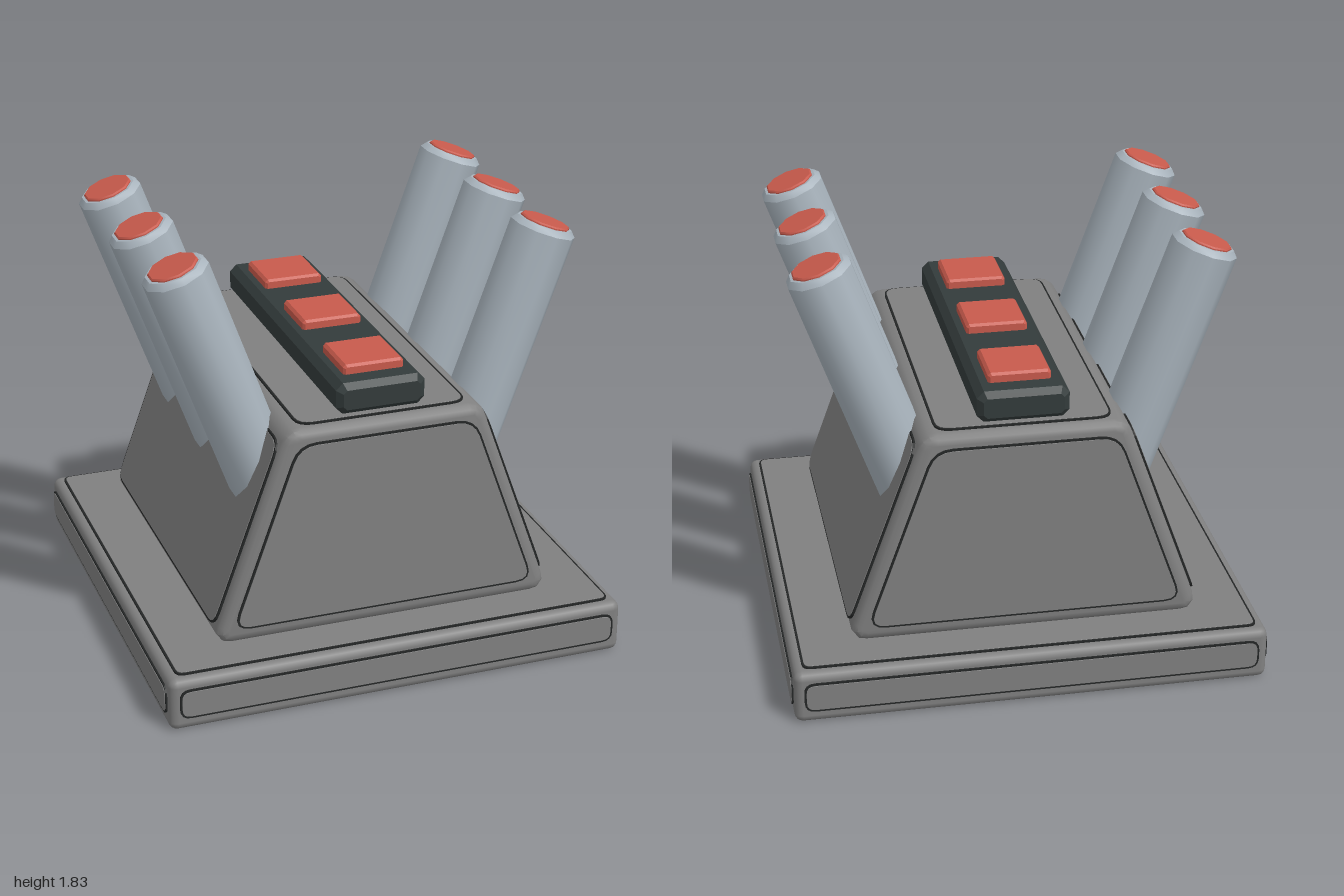
import * as THREE from 'three';
import { toCreasedNormals } from 'three/addons/utils/BufferGeometryUtils.js';
import { RoundedBoxGeometry } from 'three/addons/geometries/RoundedBoxGeometry.js';

const TILT = THREE.MathUtils.degToRad(20);

const colour = (name, hex) => {
  const m = new THREE.MeshStandardMaterial({ color: hex });
  m.name = name;
  return m;
};

// Polygon (counter-clockwise) with its corners rounded by r
function roundedPolygon(points, r) {
  const shape = new THREE.Shape();
  const v = points.map(([x, y]) => new THREE.Vector2(x, y));
  v.forEach((p, i) => {
    const prev = v[(i + v.length - 1) % v.length];
    const next = v[(i + 1) % v.length];
    const a = p.clone().add(prev.clone().sub(p).setLength(r));
    const b = p.clone().add(next.clone().sub(p).setLength(r));
    if (i === 0) shape.moveTo(a.x, a.y);
    else shape.lineTo(a.x, a.y);
    shape.quadraticCurveTo(p.x, p.y, b.x, b.y);
  });
  shape.closePath();
  return shape;
}

// Symmetric trapezoid, half width b at y0 and t at y1
const trapezoid = (b, t, y0, y1) => [[-b, y0], [b, y0], [t, y1], [-t, y1]];
const rectangle = (w, h) => trapezoid(w / 2, w / 2, -h / 2, h / 2);

export function createModel() {
  const model = new THREE.Group();
  const grey = colour('stone grey', 0x808080);
  const trim = colour('dark trim', 0x242626);
  const black = colour('charcoal', 0x333b3b);
  const steel = colour('pale steel', 0xa9b4bd);
  const red = colour('red', 0xc85a4c);

  function add(name, geometry, material, parent = model) {
    const mesh = new THREE.Mesh(geometry, material);
    mesh.name = name;
    parent.add(mesh);
    return mesh;
  }

  // Raised plate facing +z with a dark rim
  function panel(name, points, radius) {
    const group = new THREE.Group();
    group.name = name;
    const shape = roundedPolygon(points, radius);
    const rim = new THREE.ExtrudeGeometry(shape, { depth: 0.009, bevelEnabled: false, curveSegments: 4 });
    add(name + 'Rim', rim, trim, group);
    const face = new THREE.ExtrudeGeometry(shape, {
      depth: 0.011, bevelThickness: 0.0005, bevelSize: 0.0005, bevelOffset: -0.009,
      bevelSegments: 1, curveSegments: 4,
    });
    add(name + 'Face', face, grey, group);
    model.add(group);
    return group;
  }

  // Box with chamfered edges, longest along z
  function chamferBox(name, w, h, d, c, material) {
    const shape = roundedPolygon(rectangle(w - 2 * c, h - 2 * c), c * 0.6);
    const geo = new THREE.ExtrudeGeometry(shape, {
      depth: d - 2 * c, bevelThickness: c, bevelSize: c, bevelSegments: 1, curveSegments: 1,
    });
    geo.translate(0, 0, -d / 2 + c);
    return add(name, geo, material);
  }

  // Base slab and its panels
  add('base', new RoundedBoxGeometry(1.98, 0.23, 1.98, 2, 0.035), grey).position.y = 0.115;
  for (let i = 0; i < 4; i++) {
    const a = (i * Math.PI) / 2;
    const p = panel('baseSidePanel', rectangle(1.9, 0.13), 0.045);
    p.rotation.y = a;
    p.position.set(Math.sin(a) * 0.988, 0.122, Math.cos(a) * 0.988);
  }
  const baseTop = panel('baseTopPanel', rectangle(1.9, 1.9), 0.04);
  baseTop.rotation.x = -Math.PI / 2;
  baseTop.position.y = 0.229;

  // Tapered body
  const bevel = 0.04;
  const body = new THREE.ExtrudeGeometry(
    roundedPolygon(trapezoid(0.69, 0.39, 0.275, 1.107), 0.03),
    { depth: 1.5, bevelThickness: bevel, bevelSize: bevel, bevelSegments: 3, curveSegments: 3 },
  );
  body.translate(0, 0, -0.75);
  add('body', toCreasedNormals(body, 0.6), grey);

  // Body panels: front, back, slopes and top
  for (const s of [1, -1]) {
    const end = panel(s > 0 ? 'frontPanel' : 'backPanel', trapezoid(0.665, 0.38, 0.3, 1.09), 0.08);
    end.rotation.y = s > 0 ? 0 : Math.PI;
    end.position.z = s * 0.789;

    const slope = panel('slopePanel', rectangle(1.49, 0.84), 0.07);
    slope.rotation.set(0, (s * Math.PI) / 2, s * TILT, 'ZYX');
    slope.position.set(s * 0.582, 0.695, 0);
  }
  const top = panel('topPanel', rectangle(0.73, 1.49), 0.07);
  top.rotation.x = -Math.PI / 2;
  top.position.y = 1.146;

  // Control strip with its buttons
  chamferBox('controlStrip', 0.38, 0.135, 1.46, 0.025, black).position.y = 1.222;
  for (const z of [-0.5, 0, 0.5]) {
    chamferBox('button', 0.26, 0.06, 0.26, 0.01, red).position.set(0, 1.3, z);
  }

  // Leaning tubes with red caps, three on each slope
  const lathe = (pts) => toCreasedNormals(
    new THREE.LatheGeometry(pts.map(([x, y]) => new THREE.Vector2(x, y)), 10), 0.7);
  const tubeGeo = lathe([[0, -1.15], [0.14, -1.15], [0.14, -0.032], [0.118, -0.008], [0, -0.008]]);
  const capGeo = lathe([[0.106, -0.02], [0.106, -0.003], [0.1, 0.003], [0, 0.003]]);
  for (const s of [1, -1]) {
    for (const z of [-0.5, 0, 0.5]) {
      const tube = new THREE.Group();
      tube.name = s > 0 ? 'leftTube' : 'rightTube';
      add('tubeBarrel', tubeGeo, steel, tube);
      add('tubeCap', capGeo, red, tube);
      tube.position.set(s * 0.795, 1.795, z);
      tube.rotation.z = -s * TILT;
      model.add(tube);
    }
  }
  return model;
}
